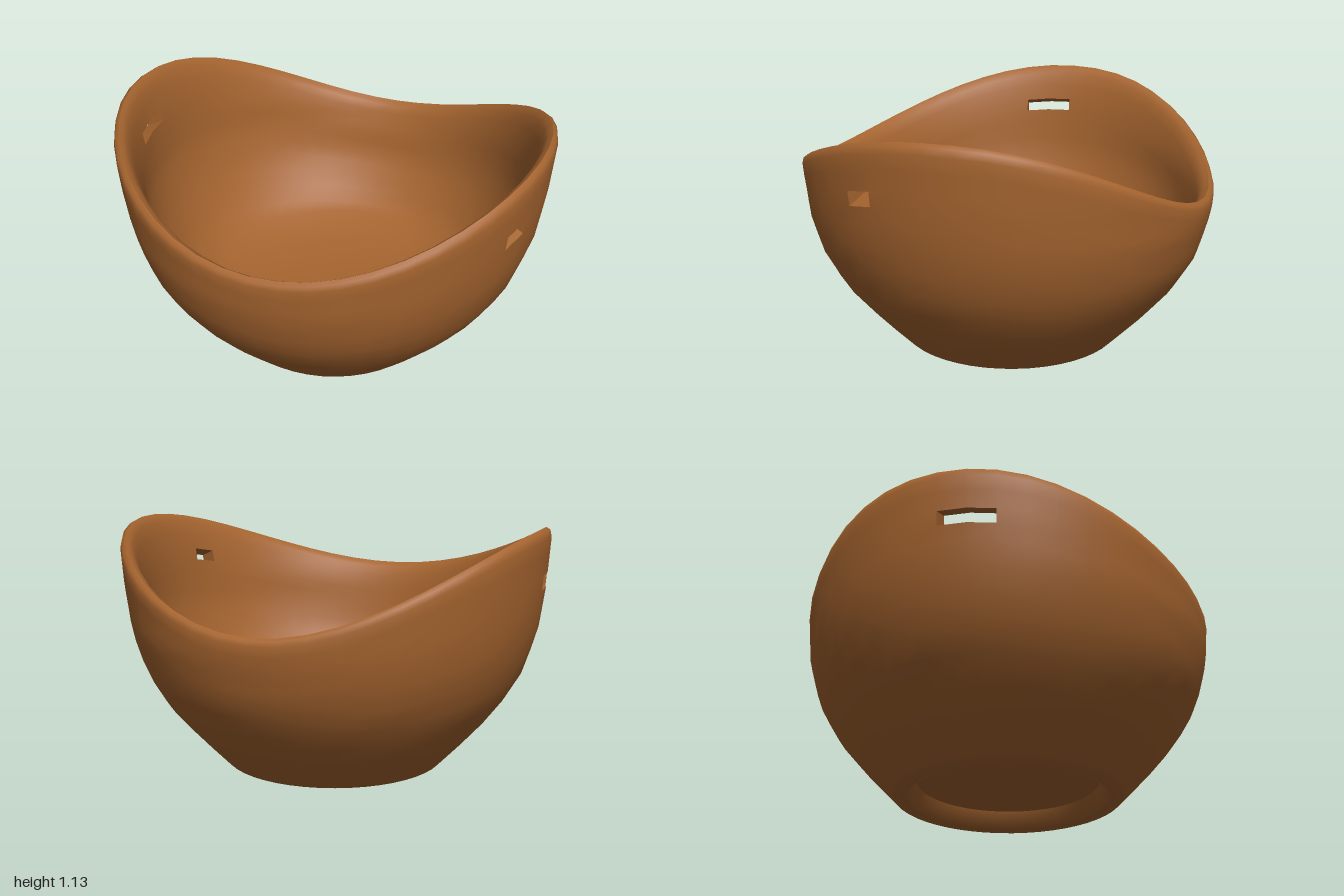
import * as THREE from 'three';
import { toCreasedNormals } from 'three/addons/utils/BufferGeometryUtils.js';

const { clamp, smoothstep, degToRad } = THREE.MathUtils;
const SEGMENTS = 48;
const OFFSET = degToRad(1.5);

// Outer silhouette as [height, radius]
const PROFILE = [[0.01, 0.53], [0.16, 0.675], [0.3, 0.795], [0.45, 0.885], [0.65, 0.953], [0.85, 0.982], [1.13, 1.003]];

function radiusAt(y) {
  let k = 0;
  while (k < PROFILE.length - 2 && y > PROFILE[k + 1][0]) k++;
  const [y0, r0] = PROFILE[k], [y1, r1] = PROFILE[k + 1];
  return r0 + (r1 - r0) * clamp((y - y0) / (y1 - y0), 0, 1);
}

// Saddle-shaped rim: high at the sides, low at front, lowest at back
function rimHeight(a) {
  const s = Math.sin(a);
  return 1.128 - (s > 0 ? 0.305 * s ** 2 : 0.385 * Math.abs(s) ** 2.3);
}

// Wall rows as [fraction of the rim height, wall thickness]; a hole sits above row HOLE_ROW
const LEVELS = [[0.1, 0.078], [0.2, 0.08], [0.3, 0.08], [0.4, 0.08], [0.5, 0.08], [0.6, 0.085], [0.69, 0.09],
  [0.76, 0.09], [0.82, 0.085], [0.9, 0.075], [0.96, 0.06]];
const HOLE_ROW = 7;

// Underside: recessed centre inside a foot ring, as [radius, height]
const UNDERSIDE = [[0, 0.085], [0.15, 0.085], [0.3, 0.08], [0.42, 0.08], [0.45, 0.005], [0.47, 0], [0.52, 0], [0.535, 0.015]];
// Rim from outside to inside, as [inset, drop]
const RIM = [[0.01, 0.012], [0.028, 0], [0.046, 0.012]];
const FLOOR = [[0.6, 0.205], [0.5, 0.162], [0.4, 0.138], [0.2, 0.122], [0, 0.12]];

// One section of the wall, from the underside centre to the floor centre
function section(a) {
  const rim = rimHeight(a), base = 0.17;
  const outside = LEVELS.map(([t]) => [radiusAt(t * rim), t * rim]);
  const lip = RIM.map(([inset, drop]) => [radiusAt(rim) - inset, rim - drop]);
  const inside = [...LEVELS].reverse().map(([t, thickness]) => {
    const y = base + (rim - base) * t;
    return [radiusAt(y) - thickness, y];
  });
  return [...UNDERSIDE, ...outside, ...lip, ...inside, ...FLOOR];
}

function bowlGeometry() {
  const positions = [], index = [];
  const rowCount = UNDERSIDE.length + 2 * LEVELS.length + RIM.length + FLOOR.length;
  for (let i = 0; i < SEGMENTS; i++) {
    const a = OFFSET + (i / SEGMENTS) * Math.PI * 2;
    for (const [r, y] of section(a)) {
      // Upper wall is slightly narrower front to back
      const depth = 1 - 0.025 * smoothstep(y, 0.4, 0.85);
      positions.push(r * Math.cos(a), y, r * Math.sin(a) * depth);
    }
  }
  const id = (i, j) => (i % SEGMENTS) * rowCount + j;

  // Lacing holes as [first column, end column], one on each side
  const holes = [[2, 3], [22, 24]];
  const outer = UNDERSIDE.length + HOLE_ROW;
  const inner = UNDERSIDE.length + 2 * LEVELS.length + RIM.length - 1 - HOLE_ROW;
  const isHole = (i, j) => (j === outer || j === inner - 1) && holes.some(([a, b]) => i >= a && i < b);

  // Bowl skin, closed with single triangles at both centres
  for (let i = 0; i < SEGMENTS; i++) {
    for (let j = 0; j < rowCount - 1; j++) {
      if (isHole(i, j)) continue;
      const a = id(i, j), b = id(i, j + 1), c = id(i + 1, j), d = id(i + 1, j + 1);
      if (j > 0) index.push(a, b, c);
      if (j < rowCount - 2) index.push(c, b, d);
    }
  }

  // Walls through the thickness of each hole
  for (const [c0, c1] of holes) {
    const loop = [];
    for (let i = c0; i <= c1; i++) loop.push([id(i, outer), id(i, inner)]);
    for (let i = c1; i >= c0; i--) loop.push([id(i, outer + 1), id(i, inner - 1)]);
    loop.forEach(([a, b], k) => {
      const [an, bn] = loop[(k + 1) % loop.length];
      index.push(a, b, an, an, b, bn);
    });
  }

  const geometry = new THREE.BufferGeometry();
  geometry.setAttribute('position', new THREE.Float32BufferAttribute(positions, 3));
  geometry.setIndex(index);
  return toCreasedNormals(geometry, Math.PI / 3);
}

export function createModel() {
  const clay = new THREE.MeshStandardMaterial({ color: 0xa5642f });
  clay.name = 'brown clay';
  const model = new THREE.Group();
  model.name = 'saddleRimBowl';
  const bowl = new THREE.Mesh(bowlGeometry(), clay);
  bowl.name = 'bowl';
  model.add(bowl);
  return model;
}
